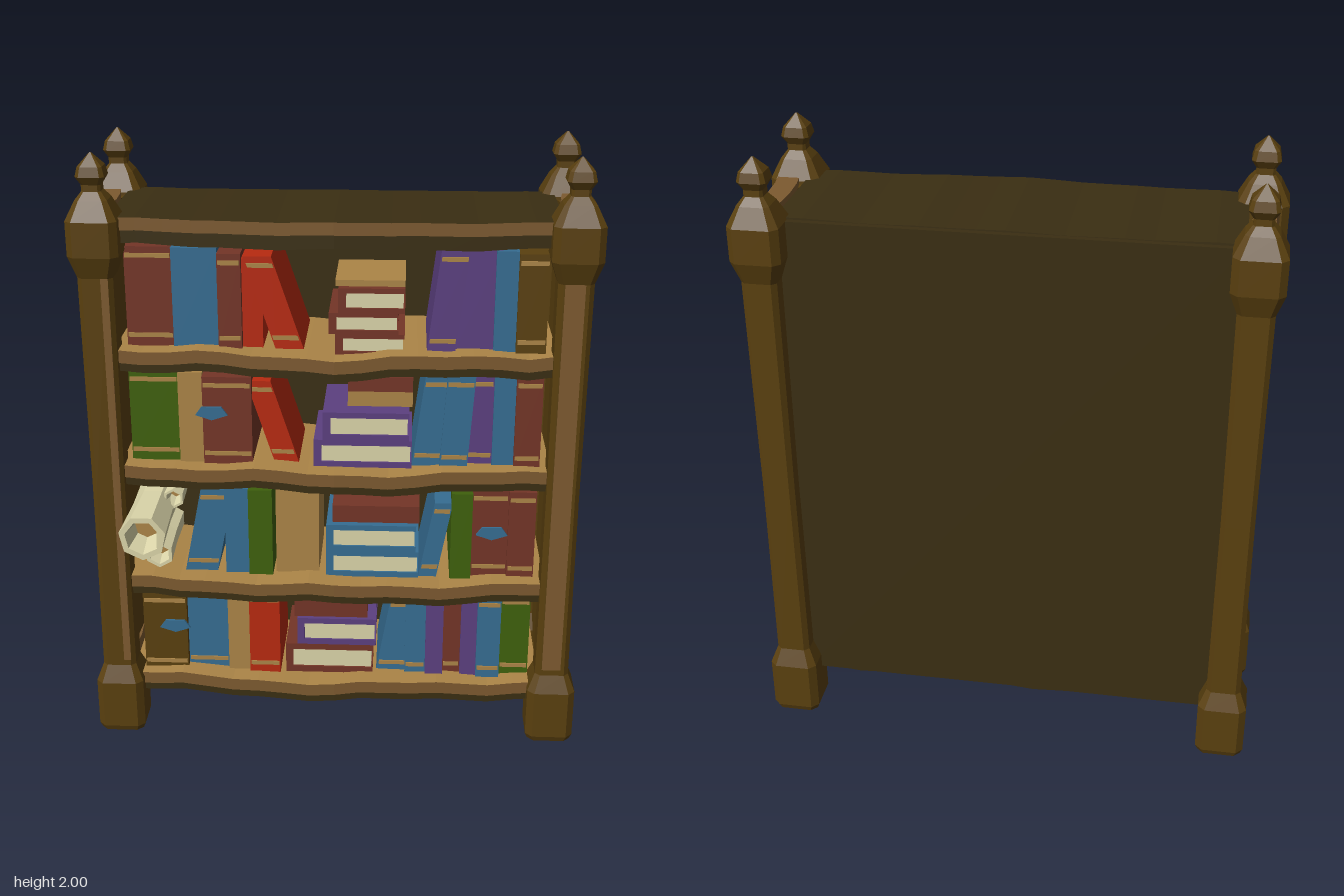
import * as THREE from 'three';

const mat = (name, color) => {
  const m = new THREE.MeshStandardMaterial({ color });
  m.name = name;
  return m;
};

export function createModel() {
  const M = {
    dark: mat('dark wood', 0x3a2e12), wood: mat('wood', 0x5a400f), mid: mat('worn wood', 0x7d5a30),
    tan: mat('light wood', 0xac8547), red: mat('red', 0xb82a10), maroon: mat('maroon', 0x743527),
    blue: mat('blue', 0x366d92), purple: mat('purple', 0x5c4080), green: mat('green', 0x3f610c),
    cream: mat('parchment', 0xdcd6aa),
  };
  const root = new THREE.Group();
  root.name = 'bookcase';

  // Faceted mesh helper
  const add = (name, geo, material, parent = root) => {
    const g = geo.index ? geo.toNonIndexed() : geo;
    g.computeVertexNormals();
    const mesh = new THREE.Mesh(g, material);
    mesh.name = name;
    parent.add(mesh);
    return mesh;
  };
  const warp = (geo, rule) => {
    const p = geo.attributes.position, v = new THREE.Vector3();
    for (let i = 0; i < p.count; i++) {
      v.fromBufferAttribute(p, i);
      rule(v);
      p.setXYZ(i, v.x, v.y, v.z);
    }
    return geo;
  };
  const box = (x0, x1, y0, y1, z0, z1, sx = 1, sy = 1, sz = 1) =>
    new THREE.BoxGeometry(x1 - x0, y1 - y0, z1 - z0, sx, sy, sz)
      .translate((x0 + x1) / 2, (y0 + y1) / 2, (z0 + z1) / 2);

  // Chamfered square column lofted through [height, half width] rings
  const column = (rings) => {
    const pos = [], idx = [];
    for (const [y, h] of rings) {
      const c = h * 0.72;
      for (const [x, z] of [[h, c], [c, h], [-c, h], [-h, c], [-h, -c], [-c, -h], [c, -h], [h, -c]]) pos.push(x, y, z);
    }
    for (let r = 0; r < rings.length - 1; r++) {
      for (let i = 0; i < 8; i++) {
        const a = r * 8 + i, b = r * 8 + (i + 1) % 8;
        idx.push(a, a + 8, b, b, a + 8, b + 8);
      }
    }
    for (let i = 1; i < 7; i++) idx.push(0, i, i + 1);
    const g = new THREE.BufferGeometry();
    g.setAttribute('position', new THREE.Float32BufferAttribute(pos, 3));
    g.setIndex(idx);
    return g;
  };

  // Four corner posts with feet, caps and finials
  const rings = [[0, 0.072], [0.02, 0.08], [0.19, 0.08], [0.25, 0.056], [0.9, 0.053], [1.62, 0.056], [1.69, 0.08],
    [1.8, 0.08], [1.86, 0.05], [1.885, 0.03], [1.905, 0.03], [1.93, 0.045], [1.96, 0.038], [2, 0.002]];
  for (const s of [-1, 1]) {
    for (const z of [0.14, -0.297]) {
      add(z > 0 ? 'frontPost' : 'backPost', column(rings), M.wood).position.set(s * 0.74, 0, z);
    }
    // Side panel, slightly bowed, with rails above and below
    const side = box(-0.03, 0.03, 0.16, 1.79, -0.27, 0.12, 1, 1, 4);
    warp(side, (v) => { v.x = s * 0.73 + v.x + s * 0.02 * Math.cos((v.z + 0.075) * 7); });
    add('sidePanel', side, M.wood);
    for (const [y0, y1] of [[1.74, 1.81], [0.13, 0.22]]) {
      const rail = box(-0.035, 0.035, y0, y1, -0.25, 0.1, 1, 1, 4);
      warp(rail, (v) => { v.x += s * (0.745 + 0.6 * (v.z + 0.075) ** 2); });
      add('sideRail', rail, M.mid);
    }
  }
  add('leftPostWear', box(0.705, 0.768, 0.27, 1.62, 0.19, 0.196), M.mid);
  add('rightPostWear', box(-0.722, -0.698, 0.27, 1.62, 0.19, 0.196), M.mid);

  // Back panel
  add('backPanel', box(-0.7, 0.7, 0.14, 1.8, -0.29, -0.25), M.dark);

  // Boards with a bowed, uneven front edge
  const board = (name, y0, y1, inset, materials, seed, wave) => {
    const g = box(-0.7, 0.7, y0, y1, -0.27, 0.165 - inset, 16, 1, 1);
    warp(g, (v) => {
      const t = 1 - Math.abs(v.x) / 0.7;
      if (v.z > 0) v.z += 0.035 * t;
      if (Math.abs(v.x) < 0.65) v.y += wave * (Math.sin(v.x * 9 + seed) + 0.6 * Math.sin(v.x * 21 + seed * 2)) - wave * 1.2 * t;
    });
    add(name, g, materials);
  };
  const shelfMats = [M.mid, M.mid, M.tan, M.dark, M.mid, M.dark];
  [0.205, 0.58, 0.985, 1.38].forEach((y, i) => {
    board('shelf', y - 0.042, y, 0, shelfMats, i * 1.7, 0.007);
    board('shelfUnderside', y - 0.072, y - 0.042, 0.012, M.dark, i * 1.7, 0.007);
  });
  board('topBoard', 1.765, 1.805, 0, [M.mid, M.mid, M.dark, M.dark, M.mid, M.dark], 1, 0.002);
  board('topBoardLip', 1.72, 1.765, 0.015, M.dark, 1, 0.004);

  // Upright book; lean shifts its top sideways, bands are thin spine plates
  const books = new THREE.Group();
  books.name = 'books';
  root.add(books);
  let count = 0;
  const book = (x0, x1, y0, h, color, lean = 0, band = true) => {
    const zf = 0.1 + 0.012 * (count++ % 3);
    const shear = (g) => warp(g, (v) => { v.x += lean * (v.y - y0) / h; });
    add('book', shear(box(x0, x1, y0, y0 + h, -0.2, zf)), M[color], books);
    if (!band) return;
    for (const y of [y0 + 0.03, y0 + h - 0.035]) {
      add('spineBand', shear(box(x0 + 0.004, x1 - 0.004, y, y + 0.014, zf, zf + 0.004)), M.tan, books);
    }
  };
  // Lying book: coloured covers around a recessed page block
  const lying = (x0, x1, y0, y1, color) => {
    const t = (y1 - y0) * 0.2;
    add('lyingBookCover', box(x0, x1, y0, y0 + t, -0.15, 0.125), M[color], books);
    add('lyingBookCover', box(x0, x1, y1 - t, y1, -0.15, 0.125), M[color], books);
    add('lyingBookSpine', box(x0, x0 + 0.025, y0 + t, y1 - t, -0.15, 0.125), M[color], books);
    add('lyingBookPages', box(x0 + 0.025, x1 - 0.005, y0 + t, y1 - t, -0.14, 0.118), M.cream, books);
  };

  // Top row
  let y = 1.375;
  book(-0.665, -0.515, y, 0.325, 'maroon');
  book(-0.515, -0.37, y, 0.325, 'blue', 0, false);
  book(-0.37, -0.295, y, 0.31, 'maroon');
  book(-0.295, -0.23, y, 0.29, 'red', 0, false);
  book(-0.19, -0.1, y, 0.3, 'red', -0.1);
  lying(0, 0.22, 1.36, 1.43, 'maroon');
  lying(-0.02, 0.2, 1.43, 1.5, 'maroon');
  lying(0.01, 0.22, 1.5, 1.58, 'maroon');
  add('lyingBookTop', box(0, 0.22, 1.58, 1.6, -0.15, 0.1), M.tan, books);
  book(0.29, 0.38, y, 0.33, 'purple', 0.04);
  book(0.38, 0.5, y, 0.325, 'purple', 0.02, false);
  book(0.5, 0.57, y, 0.325, 'blue', 0, false);
  book(0.57, 0.665, y, 0.32, 'wood');

  // Second row
  y = 0.98;
  book(-0.67, -0.51, y, 0.31, 'green');
  book(-0.51, -0.43, y, 0.31, 'tan', 0, false);
  book(-0.43, -0.27, y, 0.3, 'maroon');
  book(-0.2, -0.12, y, 0.28, 'red', -0.09);
  lying(-0.07, 0.25, 0.975, 1.07, 'purple');
  lying(-0.04, 0.24, 1.07, 1.165, 'purple');
  add('lyingBookTop', box(0.04, 0.25, 1.18, 1.23, -0.15, 0.1), M.tan, books);
  add('lyingBookTop', box(0.04, 0.25, 1.23, 1.28, -0.15, 0.1), M.maroon, books);
  book(0.25, 0.34, y, 0.31, 'blue', 0.04);
  book(0.34, 0.43, y, 0.315, 'blue', 0.02);
  book(0.43, 0.51, y, 0.31, 'purple');
  book(0.51, 0.58, y, 0.315, 'blue', 0, false);
  book(0.58, 0.665, y, 0.315, 'maroon');

  // Third row
  y = 0.575;
  book(-0.51, -0.4, y, 0.3, 'blue', 0.06);
  book(-0.37, -0.29, y, 0.31, 'blue', 0, false);
  book(-0.29, -0.21, y, 0.31, 'green', 0, false);
  book(-0.2, -0.055, y, 0.315, 'tan', 0, false);
  lying(-0.03, 0.28, 0.575, 0.67, 'blue');
  lying(-0.03, 0.27, 0.67, 0.765, 'blue');
  add('lyingBookTop', box(-0.01, 0.28, 0.765, 0.825, -0.15, 0.1), M.maroon, books);
  book(0.28, 0.34, y, 0.27, 'blue', 0.05);
  book(0.385, 0.455, y, 0.31, 'green', 0, false);
  book(0.455, 0.575, y, 0.315, 'maroon');
  book(0.575, 0.665, y, 0.315, 'maroon');

  // Bottom row
  y = 0.195;
  book(-0.66, -0.51, y, 0.3, 'wood');
  book(-0.51, -0.37, y, 0.31, 'blue');
  book(-0.37, -0.295, y, 0.31, 'tan', 0, false);
  book(-0.295, -0.19, y, 0.31, 'red');
  lying(-0.17, 0.13, 0.2, 0.31, 'maroon');
  lying(-0.13, 0.14, 0.31, 0.41, 'purple');
  add('lyingBookTop', box(-0.14, 0.11, 0.41, 0.48, -0.15, 0.11), M.maroon, books);
  book(0.14, 0.24, y, 0.29, 'blue', 0.05);
  book(0.24, 0.31, y, 0.31, 'blue');
  book(0.31, 0.37, y, 0.31, 'purple', 0, false);
  book(0.37, 0.43, y, 0.31, 'maroon');
  book(0.43, 0.485, y, 0.31, 'purple', 0, false);
  book(0.485, 0.565, y, 0.31, 'blue');
  book(0.565, 0.665, y, 0.31, 'green');

  // Blue bookmarks
  for (const [x, yy] of [[-0.4, 1.16], [0.52, 0.75], [-0.55, 0.375]]) {
    const g = new THREE.CylinderGeometry(0.05, 0.05, 0.008, 5).rotateX(Math.PI / 2).scale(1.1, 0.5, 1);
    add('bookmark', g.translate(x, yy, 0.131), M.blue, books);
  }

  // Parchment scrolls with open ends
  const scroll = (r, len, sides) => {
    const g = new THREE.Group();
    g.name = 'scroll';
    root.add(g);
    const outline = [[r * 0.5, len * 0.8], [r * 0.75, len], [r, len], [r * 0.9, len * 0.5], [r * 0.95, 0], [0, 0]]
      .map(([x, h]) => new THREE.Vector2(x, h)).reverse();
    add('scrollPaper', new THREE.LatheGeometry(outline, sides), M.cream, g);
    add('scrollCore', new THREE.CylinderGeometry(r * 0.5, r * 0.5, 0.005, sides).translate(0, len * 0.8, 0), M.tan, g);
    g.rotation.x = Math.PI / 2;
    return g;
  };
  scroll(0.077, 0.46, 7).position.set(-0.6, 0.825, -0.08);
  const small = scroll(0.035, 0.3, 6);
  small.position.set(-0.53, 0.87, -0.13);
  const low = scroll(0.05, 0.3, 6);
  low.position.set(-0.6, 0.63, -0.2);

  return root;
}
